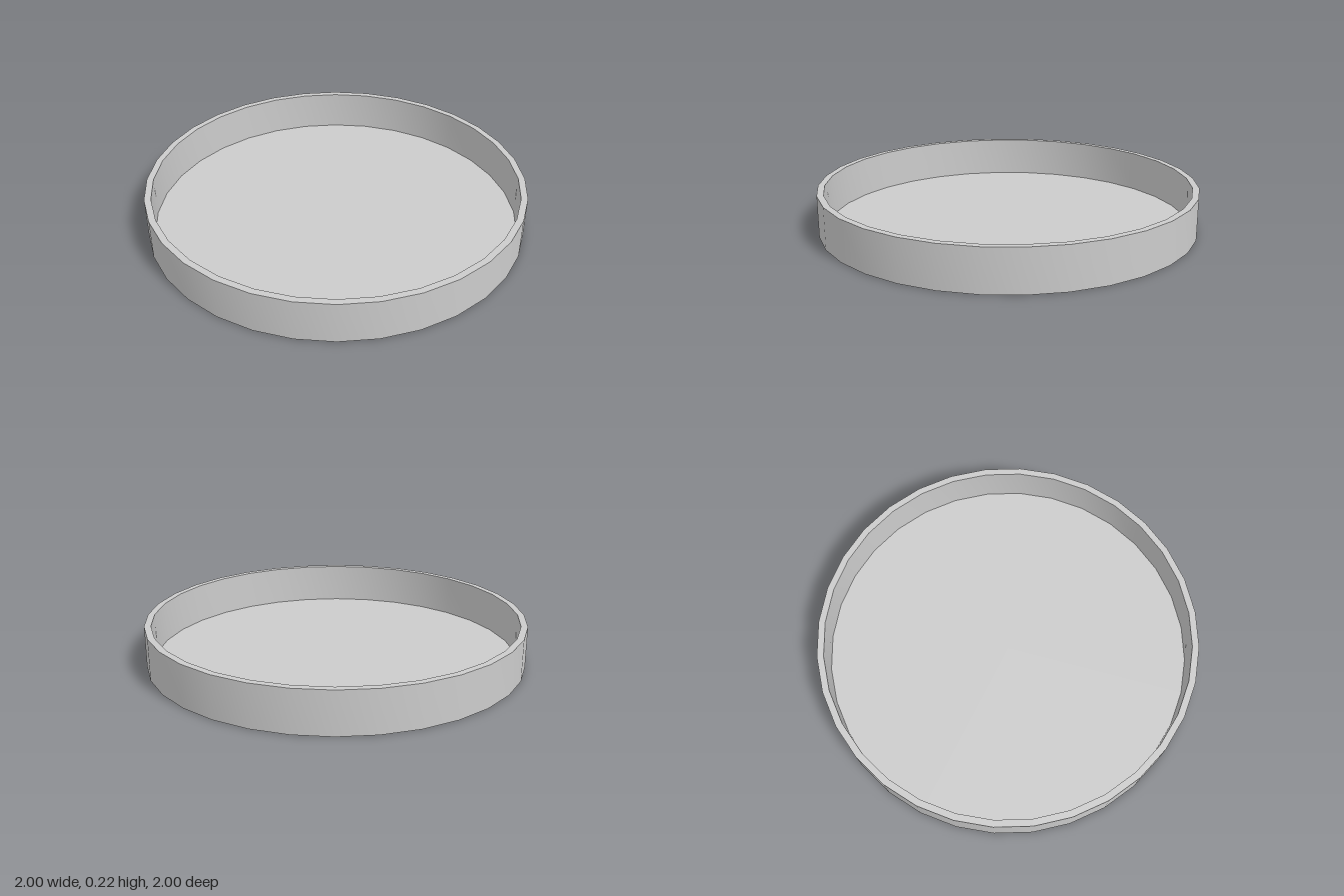
import * as THREE from 'three';
import { toCreasedNormals } from 'three/addons/utils/BufferGeometryUtils.js';

export function createModel() {
  const SIDES = 32, RADIUS = 1, INNER = 0.965, HEIGHT = 0.22, FLOOR = 0.005;
  const group = new THREE.Group();
  group.name = 'roundTray';
  const material = new THREE.MeshStandardMaterial({ color: 0xcccccc });

  // Closed profile: underside, outer wall, rim, inner wall, floor
  const profile = [
    [0, 0], [RADIUS, 0], [RADIUS, HEIGHT], [INNER, HEIGHT], [INNER, FLOOR], [0, FLOOR],
  ].map(([x, y]) => new THREE.Vector2(x, y));

  // Smooth round the walls, sharp at the rim and floor edges
  const tray = new THREE.Mesh(
    toCreasedNormals(new THREE.LatheGeometry(profile, SIDES), Math.PI / 5), material);
  tray.name = 'tray';
  group.add(tray);
  return group;
}
